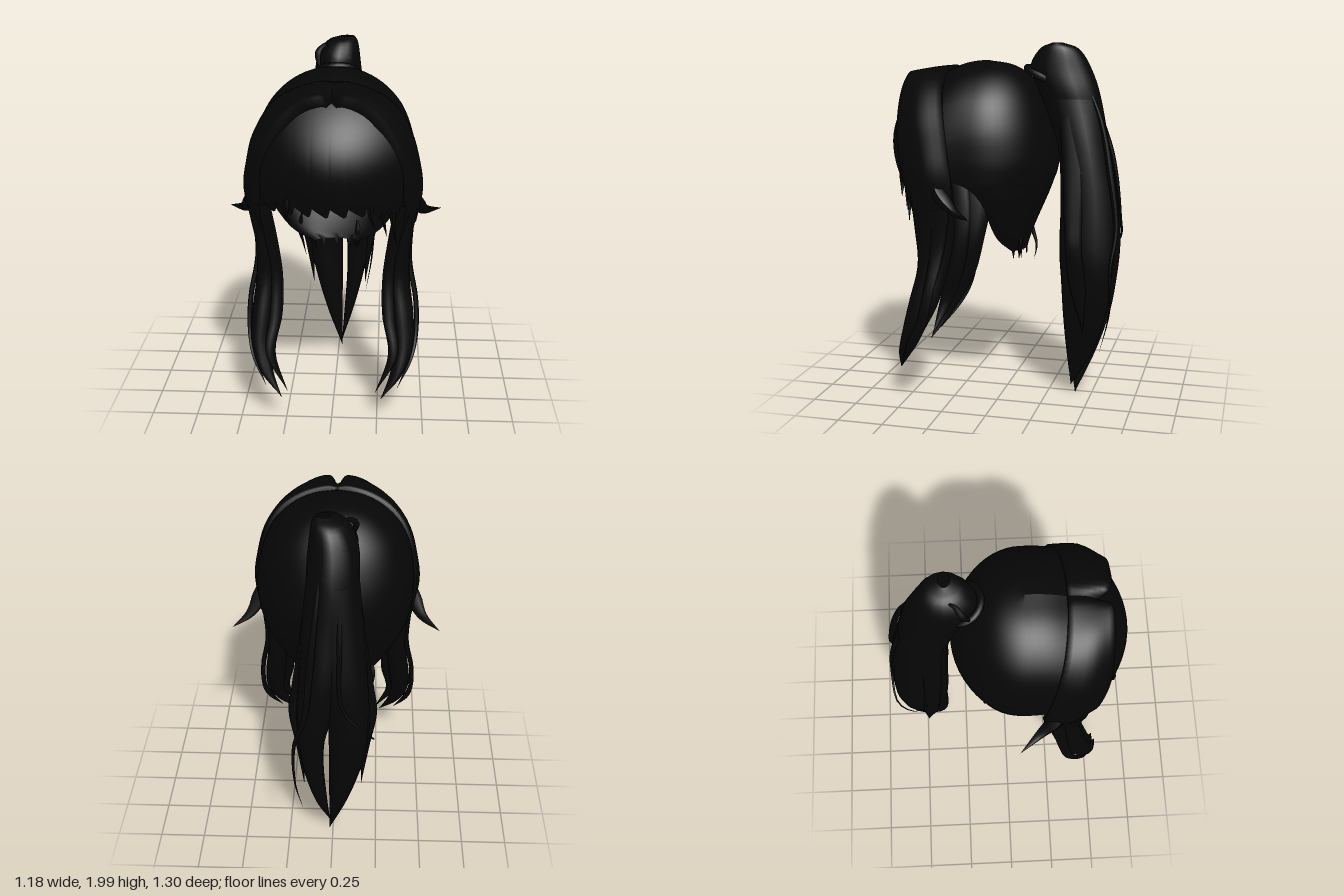
import * as THREE from 'three';

const V = (x, y, z) => new THREE.Vector3(x, y, z);
const hair = new THREE.MeshStandardMaterial({ color: 0x060606, side: THREE.DoubleSide });

function part(name, geometry) {
  const mesh = new THREE.Mesh(geometry, hair);
  mesh.name = name;
  return mesh;
}

// Skin a grid of points; closed joins the last column to the first.
function loft(rows, closed = false) {
  const n = rows[0].length, index = [];
  for (let i = 0; i < rows.length - 1; i++) {
    for (let j = 0; j < (closed ? n : n - 1); j++) {
      const k = (j + 1) % n, a = i * n, b = a + n;
      index.push(a + j, a + k, b + j, a + k, b + k, b + j);
    }
  }
  const g = new THREE.BufferGeometry().setFromPoints(rows.flat());
  g.setIndex(index);
  g.computeVertexNormals();
  return g;
}

// Smooth in-between values for rows of numbers.
function refine(rows, steps) {
  const n = rows[0].length, cols = [];
  for (let c = 0; c < n; c++) {
    cols.push(new THREE.CatmullRomCurve3(rows.map((r) => V(r[c], 0, 0)), false, 'catmullrom', 0.5));
  }
  return Array.from({ length: steps + 1 }, (_, i) => cols.map((c) => c.getPoint(i / steps).x));
}

// Hanging lock: rows of [x, y, z, half width, half depth].
function lock(name, rows, sides = 12) {
  return part(name, loft(refine(rows, rows.length * 4).map(([x, y, z, rx, rz]) =>
    Array.from({ length: sides }, (_, j) => {
      const a = (j / sides) * Math.PI * 2;
      return V(x + Math.max(rx, 0.001) * Math.cos(a), y, z + Math.max(rz, 0.001) * Math.sin(a));
    })), true));
}

// Thin strand along a path, tapering to its end.
function strand(name, points, r, startScale = 0.3) {
  const curve = new THREE.CatmullRomCurve3(points.map((p) => V(...p)));
  const seg = 28, sides = 6;
  const g = new THREE.TubeGeometry(curve, seg, r, sides, false);
  const pos = g.attributes.position, p = V(0, 0, 0);
  for (let i = 0; i < pos.count; i++) {
    const t = Math.floor(i / (sides + 1)) / seg;
    const s = Math.min(startScale + t * 2, 1) * Math.min(1, (1 - t) * 1.6);
    const c = curve.getPointAt(t);
    p.fromBufferAttribute(pos, i).sub(c).multiplyScalar(s).add(c);
    pos.setXYZ(i, p.x, p.y, p.z);
  }
  g.computeVertexNormals();
  return part(name, g);
}

// Scalp shell: rows of [y, half width, back z, front z], with a ragged nape.
function scalp() {
  const rows = refine([
    [1.9, 0, 0.11, 0.31], [1.875, 0.14, -0.03, 0.31], [1.81, 0.26, -0.13, 0.31], [1.7, 0.36, -0.21, 0.31],
    [1.55, 0.42, -0.265, 0.31], [1.4, 0.435, -0.29, 0.3], [1.3, 0.43, -0.28, 0.24], [1.24, 0.42, -0.26, 0.11],
    [1.15, 0.38, -0.225, 0.045], [1.0, 0.29, -0.16, 0.015], [0.92, 0.22, -0.13, -0.01], [0.85, 0.12, -0.11, -0.05],
  ], 44);
  return loft(rows.map(([y, w, zb, zf], i) => {
    const zc = Math.min(0.1, zf), row = [];
    const drop = (z) => (z > 0.12 && y > 1.5 ? 1.2 * (z - 0.12) ** 2 : 0);
    for (let j = 0; j <= 5; j++) {
      const z = zf + (zc - zf) * j / 5;
      row.push(V(w, y - drop(z), z));
    }
    for (let j = 1; j < 28; j++) {
      const a = (j / 28) * Math.PI;
      const tip = i === rows.length - 1 && j % 6 === 2 ? 0.05 : 0;
      row.push(V(w * Math.cos(a), y - tip, zc + (zb - zc) * Math.sin(a)));
    }
    for (let j = 5; j >= 0; j--) {
      const z = zf + (zc - zf) * j / 5;
      row.push(V(-w, y - drop(z), z));
    }
    return row;
  }));
}

// Domed fringe with a softly ragged lower edge, longer towards +x.
function fringe() {
  const cols = 64, rows = 14, grid = [];
  for (let i = 0; i <= rows; i++) {
    const row = [];
    for (let j = 0; j <= cols; j++) {
      const x = -0.37 + 0.74 * j / cols;
      const saw = Math.abs(((j / 8) % 1) - 0.75) / 0.75;
      const top = 1.81 - 1.9 * x * x;
      const bottom = 1.22 + 0.055 * saw - (x > 0.2 ? (x - 0.2) * 0.5 : 0);
      const y = top + (bottom - top) * i / rows;
      const bulge = (y > 1.45 ? 1.6 : 1.1) * (y - 1.45) ** 2;
      row.push(V(x, y, 0.65 - bulge - 1.1 * x * x));
    }
    grid.push(row);
  }
  return loft(grid);
}

// One side: sweep from the parting, long locks and an outward flick.
function sideHair(name) {
  const g = new THREE.Group();
  g.name = name;
  const sweep = refine([
    [0, 1.865, 0.31, 0, 1.85, 0.4, 0, 1.8, 0.47],
    [0.07, 1.87, 0.31, 0.06, 1.86, 0.42, 0.05, 1.84, 0.535],
    [0.2, 1.83, 0.3, 0.2, 1.825, 0.43, 0.17, 1.8, 0.54],
    [0.32, 1.75, 0.28, 0.32, 1.735, 0.42, 0.27, 1.7, 0.54],
    [0.405, 1.62, 0.25, 0.41, 1.6, 0.4, 0.35, 1.55, 0.53],
    [0.445, 1.45, 0.22, 0.455, 1.45, 0.36, 0.39, 1.4, 0.505],
    [0.455, 1.3, 0.2, 0.475, 1.3, 0.34, 0.4, 1.25, 0.475],
    [0.43, 1.12, 0.2, 0.445, 1.12, 0.32, 0.37, 1.08, 0.435],
  ], 28).map((r) => {
    const pts = [V(r[0], r[1], r[2]), V(r[3], r[4], r[5]), V(r[6], r[7], r[8])];
    const row = new THREE.CatmullRomCurve3(pts).getPoints(8);
    const hem = (x, y, z) => V(x * 0.94, y - 0.06, z);
    return [hem(r[0], r[1], r[2]), ...row, hem(r[6], r[7], r[8] - 0.03)];
  });
  g.add(part('sideSweep', loft(sweep)));
  g.add(lock('sideLock', [
    [0.41, 1.35, 0.33, 0.045, 0.12], [0.4, 1.18, 0.32, 0.05, 0.12], [0.37, 1.0, 0.315, 0.05, 0.115],
    [0.36, 0.8, 0.33, 0.058, 0.09], [0.38, 0.6, 0.38, 0.062, 0.085], [0.39, 0.45, 0.435, 0.055, 0.065],
    [0.355, 0.3, 0.5, 0.035, 0.04], [0.27, 0.17, 0.56, 0, 0]]));
  g.add(lock('innerLock', [
    [0.37, 1.25, 0.41, 0.04, 0.06], [0.33, 1.0, 0.37, 0.038, 0.06], [0.305, 0.8, 0.37, 0.036, 0.05],
    [0.31, 0.6, 0.41, 0.038, 0.05], [0.335, 0.4, 0.48, 0.028, 0.04], [0.24, 0.2, 0.54, 0, 0]], 8));
  g.add(lock('outerLock', [
    [0.42, 1.15, 0.27, 0.02, 0.06], [0.412, 0.9, 0.29, 0.016, 0.04], [0.452, 0.68, 0.33, 0.014, 0.03],
    [0.458, 0.5, 0.37, 0.014, 0.03], [0.43, 0.36, 0.44, 0.012, 0.03], [0.36, 0.22, 0.52, 0, 0]], 8));
  g.add(strand('flick', [[0.42, 1.38, 0.32], [0.435, 1.24, 0.28], [0.49, 1.14, 0.18], [0.59, 1.105, 0.06]], 0.05, 0.05));
  return g;
}

export function createModel() {
  const model = new THREE.Group();
  model.name = 'hair';
  model.add(part('scalp', scalp()), part('fringe', fringe()));
  // Longer fringe tips
  for (const [x, y, z] of [[0.34, 1.03, 0.47], [0.29, 1.09, 0.5], [0.23, 1.15, 0.55], [-0.2, 1.18, 0.57]]) {
    model.add(strand('fringeTip', [[x - 0.02, 1.36, z], [x - 0.025, 1.22, z + 0.005], [x, y, z]], 0.022, 0));
  }

  const left = sideHair('leftSide'), right = sideHair('rightSide');
  right.scale.x = -1;
  model.add(left, right);

  // Ponytail: two full locks parting near the tip
  const crown = [[0.05, 2.0, -0.29, 0.04, 0.03], [0.02, 1.965, -0.295, 0.09, 0.11], [0, 1.86, -0.3, 0.125, 0.17],
    [0, 1.7, -0.36, 0.135, 0.165]];
  const tail = new THREE.Group();
  tail.name = 'ponytail';
  tail.add(lock('tailLeft', [...crown, [0.025, 1.45, -0.43, 0.135, 0.14], [0.05, 1.15, -0.47, 0.13, 0.155],
    [0.1, 0.88, -0.475, 0.095, 0.155], [0.115, 0.7, -0.475, 0.07, 0.14], [0.1, 0.5, -0.465, 0.052, 0.12],
    [0.065, 0.28, -0.435, 0.03, 0.075], [0.02, 0.06, -0.38, 0, 0]], 16));
  tail.add(lock('tailRight', [...crown, [-0.025, 1.45, -0.43, 0.135, 0.14], [-0.05, 1.15, -0.47, 0.135, 0.155],
    [-0.085, 0.9, -0.48, 0.115, 0.155], [-0.085, 0.7, -0.48, 0.105, 0.14], [-0.06, 0.48, -0.465, 0.08, 0.12],
    [-0.025, 0.25, -0.435, 0.045, 0.075], [0.02, 0.015, -0.405, 0, 0]], 16));
  for (const s of [-1, 1]) {
    tail.add(lock('tailSideLock', [[s * 0.1, 1.7, -0.36, 0.03, 0.06], [s * 0.14, 1.35, -0.4, 0.035, 0.06],
      [s * 0.185, 1.05, -0.41, 0.035, 0.05], [s * 0.205, 0.88, -0.42, 0.035, 0.045],
      [s * 0.18, 0.68, -0.44, 0.025, 0.045], [s * 0.16, 0.42, -0.47, 0, 0]], 8));
  }
  // Loose strands bowing out behind the tail
  tail.add(strand('looseStrand', [[0.05, 1.85, -0.42], [0.08, 1.6, -0.535], [0.11, 1.3, -0.6], [0.14, 1.0, -0.64],
    [0.2, 0.8, -0.62], [0.2, 0.55, -0.62], [0.16, 0.3, -0.56]], 0.02));
  tail.add(strand('loopStrand', [[-0.04, 1.9, -0.4], [-0.04, 1.4, -0.585], [-0.06, 1.05, -0.635],
    [-0.2, 0.88, -0.615], [-0.225, 0.78, -0.52], [-0.16, 0.72, -0.42]], 0.014));
  tail.add(strand('tailTopStrand', [[-0.1, 1.83, -0.17], [-0.11, 1.92, -0.21], [-0.07, 1.96, -0.25], [-0.04, 1.95, -0.33]], 0.018));
  model.add(tail);

  // Hair tie around the ponytail root
  const tie = part('hairTie', new THREE.TorusGeometry(0.105, 0.02, 8, 28));
  tie.position.set(0, 1.82, -0.21);
  tie.rotation.x = 1.15;
  model.add(tie);

  // Loose wisps at the nape
  model.add(strand('napeWisp', [[-0.2, 1.02, -0.06], [-0.215, 0.9, -0.1], [-0.2, 0.82, -0.125], [-0.18, 0.74, -0.115]], 0.014));
  model.add(strand('napeWisp', [[0.12, 0.96, -0.11], [0.12, 0.88, -0.1], [0.1, 0.8, -0.09]], 0.016));
  return model;
}
